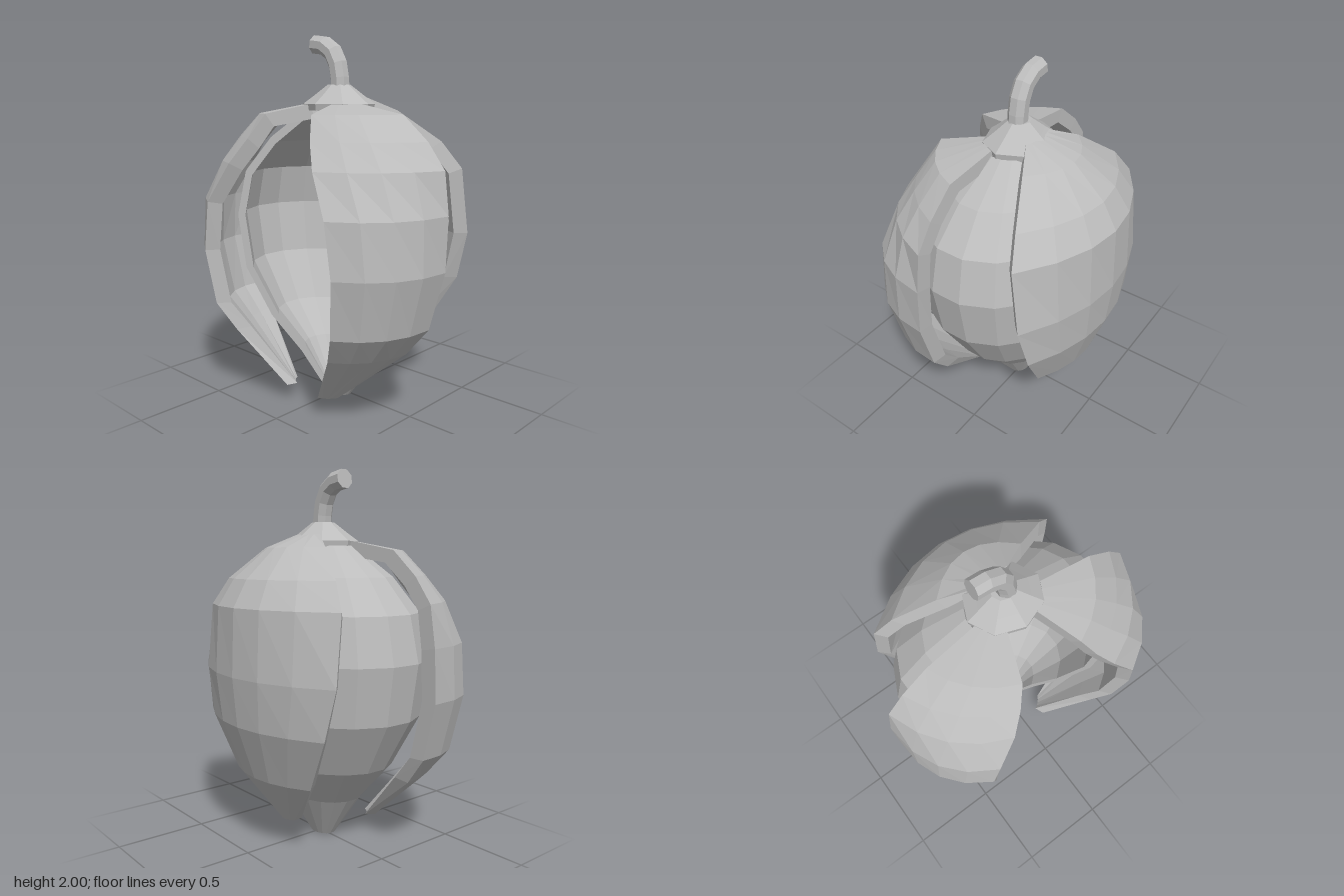
import * as THREE from 'three';

// Split faces so every facet gets its own normal
function facet(geo) {
  const g = geo.index ? geo.toNonIndexed() : geo;
  g.computeVertexNormals();
  return g;
}

// Solid curved slab from an outer grid of points (rows run down, columns run
// counter-clockwise from above) and the same grid moved in towards the core,
// an upright line at the given z; the last row stays level as a flat tip
function slab(grid, thickness, coreZ = 0) {
  const R = grid.length, C = grid[0].length, pos = [], idx = [];
  grid.flat().forEach((p) => pos.push(p.x, p.y, p.z));
  grid.forEach((row, i) => row.forEach((p) => {
    const tip = i === R - 1;
    const core = new THREE.Vector3(0, tip ? p.y : THREE.MathUtils.clamp(p.y, 0.5, 1), coreZ);
    const q = p.clone().add(core.sub(p).setLength(tip ? thickness * 0.75 : thickness));
    pos.push(q.x, q.y, q.z);
  }));
  const o = (i, j) => i * C + j, n = (i, j) => R * C + i * C + j;
  const quad = (a, b, c, d) => idx.push(a, b, c, a, c, d);
  for (let i = 0; i < R - 1; i++) {
    for (let j = 0; j < C - 1; j++) {
      quad(o(i, j), o(i + 1, j), o(i + 1, j + 1), o(i, j + 1));
      quad(n(i, j), n(i, j + 1), n(i + 1, j + 1), n(i + 1, j));
    }
    quad(o(i, 0), n(i, 0), n(i + 1, 0), o(i + 1, 0));
    quad(o(i, C - 1), o(i + 1, C - 1), n(i + 1, C - 1), n(i, C - 1));
  }
  for (let j = 0; j < C - 1; j++) {
    quad(o(0, j), o(0, j + 1), n(0, j + 1), n(0, j));
    quad(o(R - 1, j), n(R - 1, j), n(R - 1, j + 1), o(R - 1, j + 1));
  }
  const g = new THREE.BufferGeometry();
  g.setAttribute('position', new THREE.Float32BufferAttribute(pos, 3));
  g.setIndex(idx);
  return facet(g);
}

// Petal grid; each row is [y, startX, startZ, endX, endZ, bulge]
function petalGrid(rows, columns) {
  return rows.map(([y, ax, az, bx, bz, bulge]) => {
    const dx = bx - ax, dz = bz - az, len = Math.hypot(dx, dz);
    return Array.from({ length: columns + 1 }, (_, j) => {
      const t = j / columns, b = 4 * t * (1 - t) * bulge / len;
      return new THREE.Vector3(ax + dx * t - dz * b, y, az + dz * t + dx * b);
    });
  });
}

export function createModel() {
  const model = new THREE.Group();
  const husk = new THREE.MeshStandardMaterial({ color: 0xbcbcbc });
  husk.name = 'huskGrey';
  const add = (name, geo) => {
    const mesh = new THREE.Mesh(geo, husk);
    mesh.name = name;
    model.add(mesh);
    return mesh;
  };

  // Inner shell, oval and open at the front and at the foot
  const profile = [[0.2, 1.61], [0.43, 1.45], [0.59, 1.27], [0.645, 1.03],
    [0.6, 0.73], [0.44, 0.45], [0.25, 0.24], [0.08, 0]];
  const shellColumns = 14, open = THREE.MathUtils.degToRad(40);
  add('innerShell', slab(profile.map(([r, y]) =>
    Array.from({ length: shellColumns + 1 }, (_, j) => {
      const a = open + (j / shellColumns) * (Math.PI * 2 - open * 2);
      return new THREE.Vector3(Math.sin(a) * r, y, 0.015 + Math.cos(a) * r * 0.76);
    })), 0.04, 0.015));

  // Two front petals, mirrored
  const side = [
    [1.635, 0.08, 0.15, 0.19, 0.05, 0.02],
    [1.585, 0.17, 0.39, 0.48, 0.07, 0.05],
    [1.46, 0.23, 0.46, 0.63, 0.07, 0.065],
    [1.33, 0.31, 0.525, 0.73, 0.07, 0.08],
    [1.12, 0.435, 0.577, 0.76, 0.075, 0.093],
    [0.85, 0.475, 0.575, 0.76, 0.09, 0.09],
    [0.55, 0.435, 0.54, 0.68, 0.1, 0.08],
    [0.4, 0.35, 0.47, 0.56, 0.12, 0.06],
    [0.09, 0.12, 0.31, 0.2, 0.24, 0.01],
  ];
  const mirrored = side.map(([y, ax, az, bx, bz, b]) => [y, -bx, bz, -ax, az, b]);
  add('leftFrontPetal', slab(petalGrid(side, 4), 0.08));
  add('rightFrontPetal', slab(petalGrid(mirrored, 4), 0.08));

  // Back petal, rows as [y, half width, edge z, bulge]
  const back = [[1.67, 0.1, -0.09, 0.02], [1.6, 0.25, -0.175, 0.13], [1.44, 0.46, -0.285, 0.195],
    [1.3, 0.56, -0.335, 0.225], [0.95, 0.578, -0.38, 0.195], [0.69, 0.51, -0.395, 0.155],
    [0.4, 0.34, -0.345, 0.105], [0.13, 0.06, -0.235, 0.025]];
  add('backPetal', slab(petalGrid(back.map(([y, w, z, b]) => [y, w, z, -w, z, b]), 6), 0.075, 0.2));

  // Cap with a short skirt
  const cap = add('cap', facet(new THREE.LatheGeometry([
    new THREE.Vector2(0, 1.6), new THREE.Vector2(0.2, 1.6), new THREE.Vector2(0.205, 1.635),
    new THREE.Vector2(0.14, 1.68), new THREE.Vector2(0.065, 1.735), new THREE.Vector2(0, 1.735)], 8)));
  cap.scale.z = 0.88;
  cap.position.z = 0.015;

  // Bent eight-sided stem
  const path = new THREE.CatmullRomCurve3([[0.015, 1.7], [0, 1.83], [-0.045, 1.91],
    [-0.1, 1.942], [-0.17, 1.952]].map(([x, y]) => new THREE.Vector3(x, y, 0.02)));
  const section = new THREE.Shape(Array.from({ length: 8 }, (_, i) => {
    const a = (i + 0.5) * Math.PI / 4;
    return new THREE.Vector2(Math.cos(a) * 0.052, Math.sin(a) * 0.052);
  }));
  add('stem', facet(new THREE.ExtrudeGeometry(section,
    { steps: 5, extrudePath: path, bevelEnabled: false })));

  return model;
}
